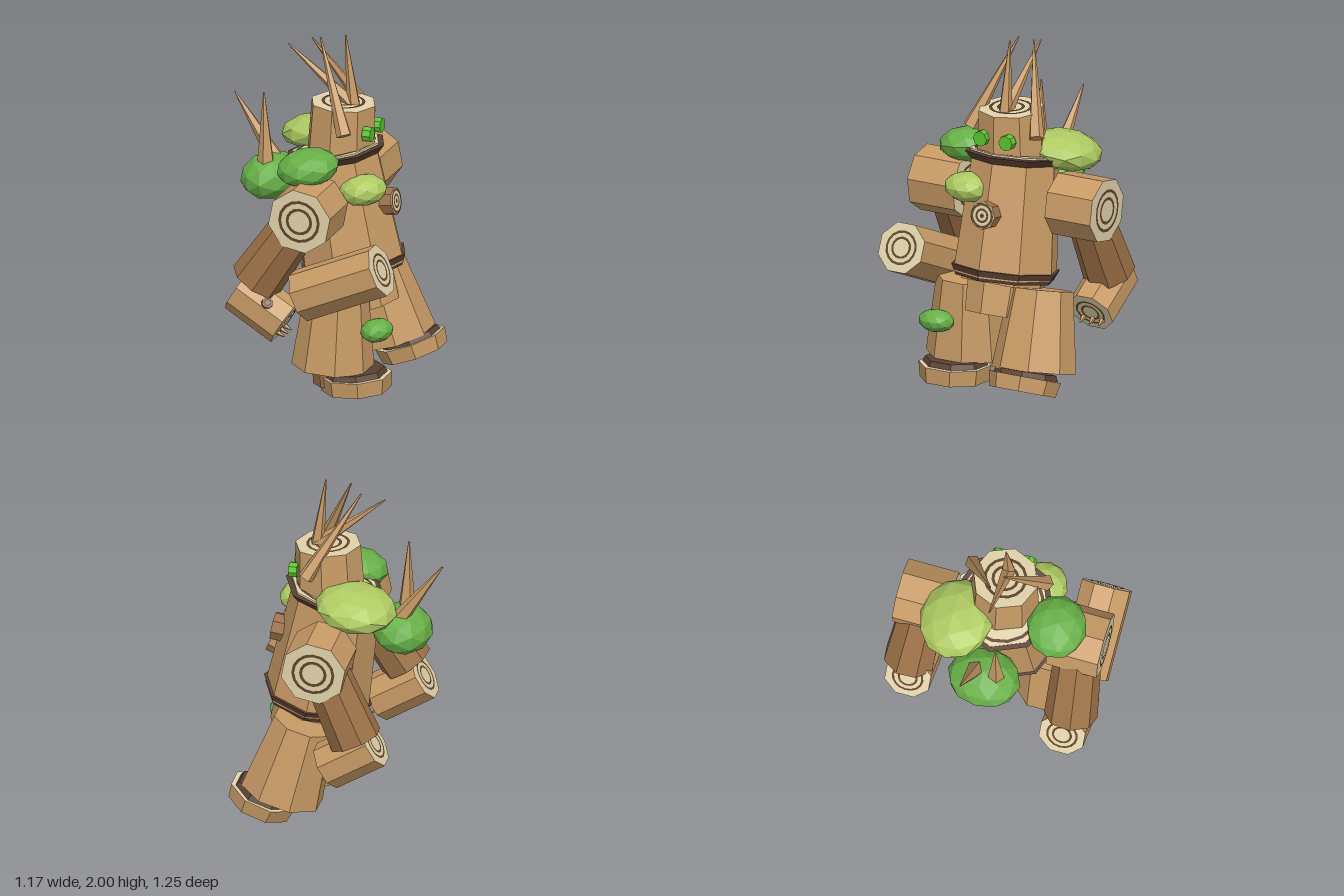
import * as THREE from 'three';

const mat = (name, color) => {
  const m = new THREE.MeshStandardMaterial({ color });
  m.name = name;
  return m;
};

export function createModel() {
  const model = new THREE.Group();
  model.name = 'logGolem';
  const bark = mat('bark', 0xc89b66);
  const brown = mat('brownBark', 0x9c7147);
  const dark = mat('darkBark', 0x5a4133);
  const cream = mat('cutWood', 0xe0d2aa);
  const ringMat = mat('growthRing', 0x5e442b);
  const leafDark = mat('darkLeaf', 0x68b048);
  const leafLight = mat('lightLeaf', 0xaeca62);
  const eyeGreen = mat('eyeGreen', 0x5cc530);

  const V = (p) => new THREE.Vector3(...p);
  const UP = new THREE.Vector3(0, 1, 0);

  // Faceted normals
  const facet = (g) => {
    const f = g.index ? g.toNonIndexed() : g;
    f.computeVertexNormals();
    return f;
  };

  // Place an object whose local y axis runs from a to b
  const span = (obj, a, b) => {
    const d = V(b).sub(V(a));
    obj.position.copy(V(a)).addScaledVector(d, 0.5);
    obj.quaternion.setFromUnitVectors(UP, d.normalize());
    model.add(obj);
    return obj;
  };

  // Octagonal log from a to b; rings lists [inner, outer] shares of the cut end
  const grain = [[0.33, 0.42], [0.57, 0.66]];
  function log(name, a, b, rA, rB, side = bark, { twist = 0, end = cream, rings = grain } = {}) {
    const group = new THREE.Group();
    group.name = name;
    const len = V(a).distanceTo(V(b));
    const body = new THREE.Mesh(facet(new THREE.CylinderGeometry(rB, rA, len, 8)), [side, end, end]);
    body.name = name + 'Body';
    body.rotation.y = twist;
    group.add(body);
    for (const [sign, r] of [[1, rB], [-1, rA]]) {
      for (const [inner, outer] of rings) {
        const ring = new THREE.Mesh(new THREE.RingGeometry(r * inner, r * outer, 16), ringMat);
        ring.name = name + 'Ring';
        ring.position.y = sign * (len / 2 + 0.003);
        ring.rotation.x = -sign * Math.PI / 2;
        group.add(ring);
      }
    }
    return span(group, a, b);
  }

  // Pointed branch from base to tip
  function spike(name, base, tip, r) {
    const len = V(base).distanceTo(V(tip));
    const m = new THREE.Mesh(facet(new THREE.CylinderGeometry(0.004, r, len, 5)), bark);
    m.name = name;
    return span(m, base, tip);
  }

  // Leaf clump, tilted about x and z
  function leaves(name, pos, size, m, tiltX, tiltZ) {
    const mesh = new THREE.Mesh(facet(new THREE.IcosahedronGeometry(1, 1)), m);
    mesh.name = name;
    mesh.position.set(...pos);
    mesh.scale.set(...size);
    mesh.rotation.set(tiltX, 0, tiltZ);
    model.add(mesh);
  }

  const plainDark = { end: dark, rings: [] };

  // Torso, leaning back, with bark collar and hem
  log('torso', [0.15, 0.65, 0], [0.035, 1.32, 0], 0.3, 0.25);
  log('collar', [0.05, 1.285, 0], [0.043, 1.325, 0], 0.25, 0.29, dark, plainDark);
  log('collarTop', [0.042, 1.325, 0], [0.04, 1.335, 0], 0.26, 0.26, cream, { rings: [[0.82, 0.89]] });
  log('hem', [0.157, 0.625, 0], [0.145, 0.685, 0], 0.285, 0.315, dark, plainDark);

  // Pelvis: a wide lip over a narrower stump
  log('pelvisLip', [0.19, 0.585, 0], [0.165, 0.65, 0], 0.24, 0.25);
  log('pelvis', [0.235, 0.43, 0], [0.185, 0.6, 0], 0.19, 0.2);

  // Head with eyes
  log('head', [0.075, 1.31, 0], [0.087, 1.605, 0], 0.2, 0.187);
  for (const z of [0.083, -0.083]) {
    log('eye', [0.24, 1.46, z], [0.288, 1.46, z], 0.044, 0.044, eyeGreen, { end: eyeGreen, rings: [] });
  }

  // Horns on the head
  spike('crownHorn', [0.15, 1.58, 0], [0.1, 2, 0], 0.042);
  spike('crownHorn', [0.15, 1.59, 0], [-0.24, 1.91, 0], 0.042);
  spike('sideHorn', [0.17, 1.48, 0.215], [-0.04, 1.98, 0.025], 0.045);
  spike('sideHorn', [0.17, 1.48, -0.215], [-0.11, 1.95, -0.03], 0.045);

  // Branches rising from the back
  spike('backBranch', [-0.345, 1.17, 0.07], [-0.36, 1.63, 0.07], 0.055);
  spike('backBranch', [-0.31, 1.17, -0.05], [-0.585, 1.565, -0.07], 0.055);

  // Knot on the chest
  log('chestKnot', [0.28, 1.035, 0], [0.4, 1.055, 0], 0.082, 0.08, brown,
    { rings: [[0, 0.16], [0.36, 0.52], [0.72, 0.9]] });

  // Arms: the right one hangs a little further forward
  for (const [s, dx, dy] of [[1, 0, 0], [-1, 0.08, 0.02]]) {
    log('shoulder', [0.04, 1.083, s * 0.3], [0.04, 1.083, s * 0.595], 0.187, 0.187, bark, { twist: 0.2 });
    log('upperArm', [0.02, 1.08, s * 0.45], [-0.26 + dx, 0.66 - dy, s * 0.48], 0.13, 0.15, brown);
    log('hand', [-0.365 + dx, 0.6 + dy, s * 0.46], [-0.09 + dx, 0.43 + dy, s * 0.46], 0.138, 0.138, bark,
      { twist: Math.PI / 8 });
    for (const k of [-1, 0, 1]) {
      const z = s * (0.46 + k * 0.06);
      spike('finger', [-0.12 + dx, 0.39 + dy, z], [-0.075 + dx, 0.365 + dy, z], 0.018);
    }
  }
  log('handKnot', [-0.19, 0.53, 0.52], [-0.155, 0.575, 0.575], 0.034, 0.032, dark, { end: brown, rings: [[0.4, 0.75]] });

  // Log carried forward on the left side
  log('forwardLog', [0.01, 0.605, 0.475], [0.485, 0.81, 0.475], 0.15, 0.15, bark, { twist: Math.PI / 8 });

  // Left leg, planted
  const turn = { twist: Math.PI / 8 };
  const leg = { ...turn, end: bark, rings: [] };
  const band = { ...turn, ...plainDark };
  log('leftLeg', [0.12, 0.14, 0.265], [0.14, 0.6, 0.25], 0.232, 0.175, bark, leg);
  log('leftAnkle', [0.14, 0.04, 0.26], [0.13, 0.2, 0.26], 0.13, 0.13, brown, turn);
  log('leftFoot', [0.26, 0.015, 0.265], [0.255, 0.105, 0.265], 0.195, 0.205, bark, turn);
  log('leftFootBand', [0.25, 0.105, 0.265], [0.248, 0.135, 0.265], 0.185, 0.17, dark, band);

  // Right leg, stepping forward
  log('rightLeg', [0.29, 0.16, -0.27], [0.165, 0.6, -0.245], 0.24, 0.18, bark, leg);
  log('rightFoot', [0.415, 0.07, -0.27], [0.385, 0.15, -0.27], 0.19, 0.205, bark, turn);
  log('rightFootBand', [0.38, 0.15, -0.27], [0.37, 0.18, -0.27], 0.185, 0.17, dark, band);

  // Foliage
  leaves('backLeaves', [-0.34, 1.12, 0], [0.172, 0.13, 0.21], leafDark, 0, 0.12);
  leaves('rightShoulderLeaves', [-0.125, 1.335, -0.225], [0.232, 0.107, 0.212], leafLight, -0.15, 0.12);
  leaves('leftShoulderLeaves', [-0.007, 1.31, 0.325], [0.18, 0.103, 0.172], leafDark, 0.1, 0.15);
  leaves('chestLeaves', [0.265, 1.16, 0.17], [0.137, 0.087, 0.138], leafLight, 0, 0.1);
  leaves('kneeLeaves', [0.395, 0.387, 0.3], [0.092, 0.066, 0.107], leafDark, 0, 0.15);

  return model;
}
